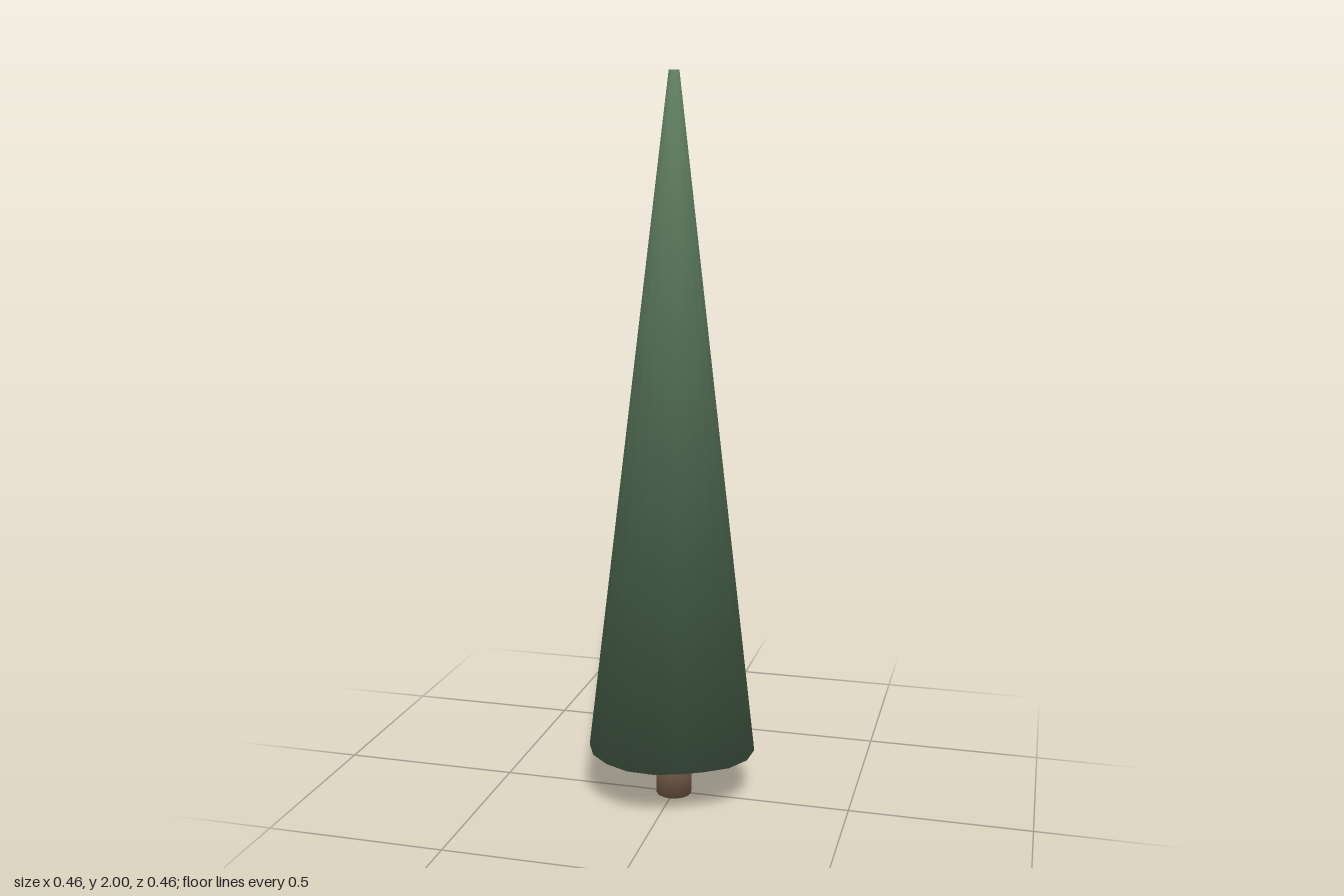
import * as THREE from 'three';
import { mergeVertices } from 'three/addons/utils/BufferGeometryUtils.js';

const foliageGreen = new THREE.MeshStandardMaterial({ name: 'foliageGreen', color: 0x5a785c });
const barkBrown = new THREE.MeshStandardMaterial({ name: 'barkBrown', color: 0x8f705a });

// Slightly uneven radii around the hem, starting at +z and turning towards +x
const HEM = [0.23, 0.222, 0.221, 0.234, 0.238, 0.232, 0.225, 0.226, 0.234, 0.24,
  0.233, 0.229, 0.234, 0.234, 0.231, 0.232, 0.239, 0.242, 0.24, 0.238];

// Capped cylinder whose normals blend softly over both rims
function softCylinder(top, bottom, y0, y1, sides, hem) {
  const height = y1 - y0;
  const source = new THREE.CylinderGeometry(top, bottom, height, sides);
  source.translate(0, (y0 + y1) / 2, 0);
  source.deleteAttribute('uv');
  source.deleteAttribute('normal');
  const geometry = mergeVertices(source, 1e-5);
  const p = geometry.attributes.position;
  const slope = (bottom - top) / height;
  const normals = [];
  const n = new THREE.Vector3();
  for (let i = 0; i < p.count; i++) {
    const x = p.getX(i), z = p.getZ(i), r = Math.hypot(x, z);
    const up = p.getY(i) > (y0 + y1) / 2 ? 1 : -1;
    if (r < 1e-4) n.set(0, up, 0);
    else n.set(x / r, up * 0.92 + slope, z / r).normalize();
    normals.push(n.x, n.y, n.z);
    if (hem && up < 0 && r > 1e-4) {
      const turn = Math.atan2(x, z) / (2 * Math.PI);
      const scale = hem[(Math.round(turn * sides) + sides) % sides] / r;
      p.setX(i, x * scale);
      p.setZ(i, z * scale);
    }
  }
  geometry.setAttribute('normal', new THREE.Float32BufferAttribute(normals, 3));
  return geometry;
}

export function createModel() {
  const tree = new THREE.Group();
  tree.name = 'coniferTree';

  // Tall tapering crown with a small flat tip
  const foliage = new THREE.Mesh(softCylinder(0.014, 0.232, 0.15, 2, 20, HEM), foliageGreen);
  foliage.name = 'foliage';

  // Short round trunk, its top just inside the crown
  const trunk = new THREE.Mesh(softCylinder(0.05, 0.05, 0, 0.17, 16), barkBrown);
  trunk.name = 'trunk';

  tree.add(foliage, trunk);
  return tree;
}
